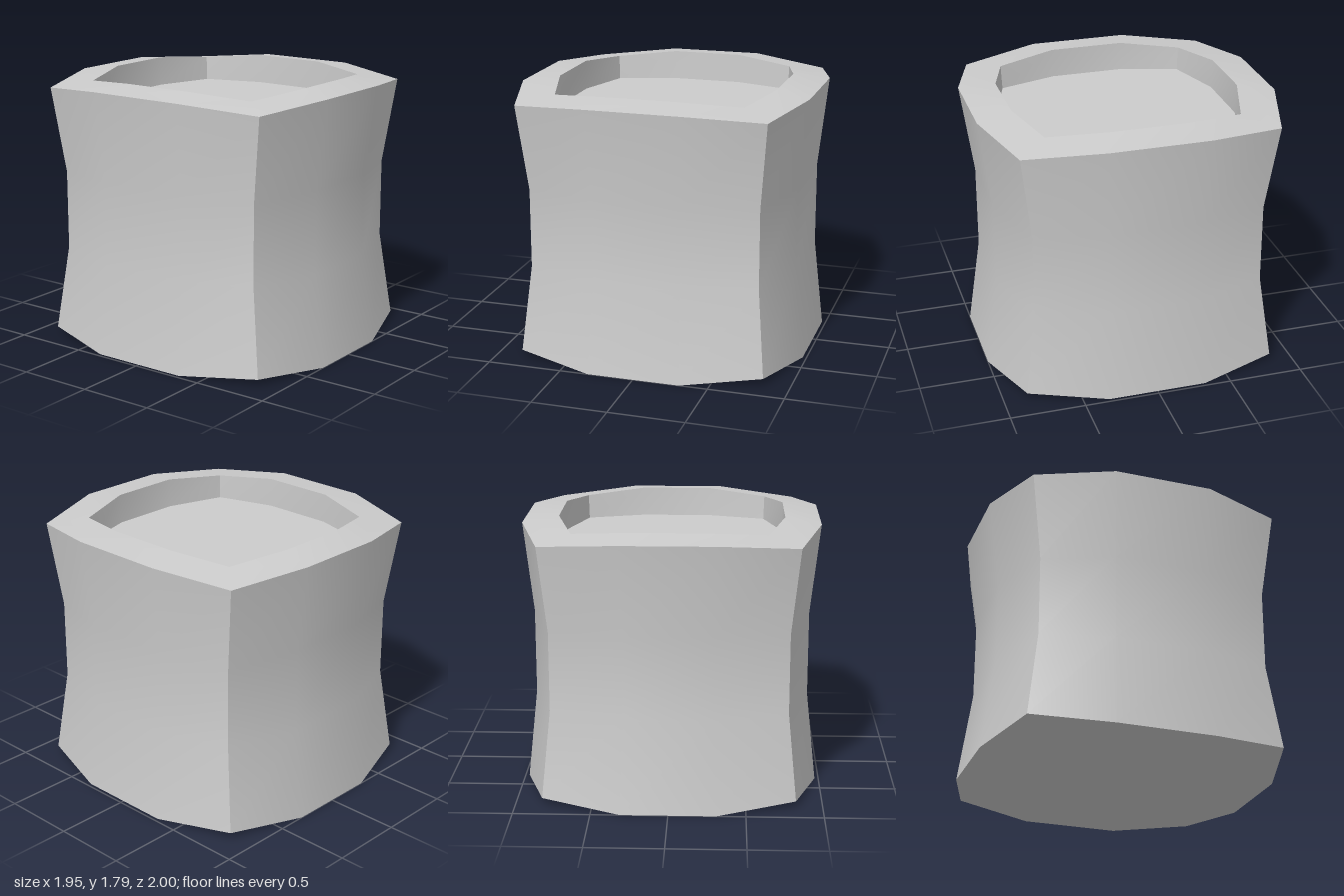
import * as THREE from 'three';
import { mergeVertices } from 'three/addons/utils/BufferGeometryUtils.js';

const material = new THREE.MeshStandardMaterial({ color: 0xcccccc });

// Twelve-point ring: four corners plus two points along each bulging side,
// counterclockwise from above, starting at the front right corner.
function ring({ corner: [cx, cy, cz], front: [fx, fz], side: [sx, sz], y }) {
  return [
    [-cx, cy, cz], [-fx, y, fz], [fx, y, fz],
    [cx, cy, cz], [sx, y, sz], [sx, y, -sz],
    [cx, cy, -cz], [fx, y, -fz], [-fx, y, -fz],
    [-cx, cy, -cz], [-sx, y, -sz], [-sx, y, sz],
  ];
}

// Smooth surface through rows of points
function patch(rows) {
  const n = rows[0].length;
  const index = [];
  for (let r = 0; r < rows.length - 1; r++) {
    for (let i = 0; i < n - 1; i++) {
      const a = r * n + i, b = a + 1, c = b + n, d = a + n;
      index.push(a, b, c, a, c, d);
    }
  }
  let g = new THREE.BufferGeometry();
  g.setAttribute('position', new THREE.Float32BufferAttribute(rows.flat(2), 3));
  g.setIndex(index);
  g = mergeVertices(g);
  g.computeVertexNormals();
  return g;
}

// Columns from..to of a set of rings, wrapping round
const span = (rings, from, to) =>
  rings.map(r => Array.from({ length: to - from + 1 }, (_, k) => r[(from + k) % 12]));

// Grid that fills a ring, its rows running from front to back
function fill(r) {
  const fx = r[2][0], y = r[2][1], sz = r[4][2];
  return [
    [r[0], r[1], r[2], r[3]],
    [r[11], [-fx, y, sz], [fx, y, sz], r[4]],
    [r[10], [-fx, y, -sz], [fx, y, -sz], r[5]],
    [r[9], r[8], r[7], r[6]],
  ];
}

export function createModel() {
  const model = new THREE.Group();
  model.name = 'recessedBlock';
  const add = (name, geometry, parent = model) => {
    const mesh = new THREE.Mesh(geometry, material);
    mesh.name = name;
    parent.add(mesh);
  };

  // Outer body levels, pinched at the middle
  const body = [
    ring({ corner: [0.825, 0.045, 0.845], front: [0.31, 1], side: [0.975, 0.33], y: 0 }),
    ring({ corner: [0.77, 0.62, 0.77], front: [0.29, 0.915], side: [0.91, 0.31], y: 0.605 }),
    ring({ corner: [0.77, 1.147, 0.77], front: [0.29, 0.915], side: [0.91, 0.31], y: 1.167 }),
    ring({ corner: [0.825, 1.72, 0.845], front: [0.31, 1], side: [0.975, 0.33], y: 1.765 }),
  ];
  const lip = ring({ corner: [0.627, 1.76, 0.643], front: [0.235, 0.762], side: [0.741, 0.25], y: 1.795 });
  const floor = ring({ corner: [0.622, 1.598, 0.636], front: [0.234, 0.755], side: [0.739, 0.245], y: 1.598 });

  // Four outer sides and four recess walls, with hard corners between them
  const sides = new THREE.Group();
  sides.name = 'outerSides';
  const walls = new THREE.Group();
  walls.name = 'recessWalls';
  model.add(sides, walls);
  ['front', 'left', 'back', 'right'].forEach((label, k) => {
    add(label + 'Side', patch(span(body, 3 * k, 3 * k + 3)), sides);
    add(label + 'RecessWall', patch(span([lip, floor], 3 * k, 3 * k + 3)), walls);
  });

  // Rim, recess floor and underside
  add('topRim', patch(span([body[3], lip], 0, 12)));
  add('recessFloor', patch(fill(floor)));
  add('underside', patch(fill(body[0]).reverse()));

  return model;
}
